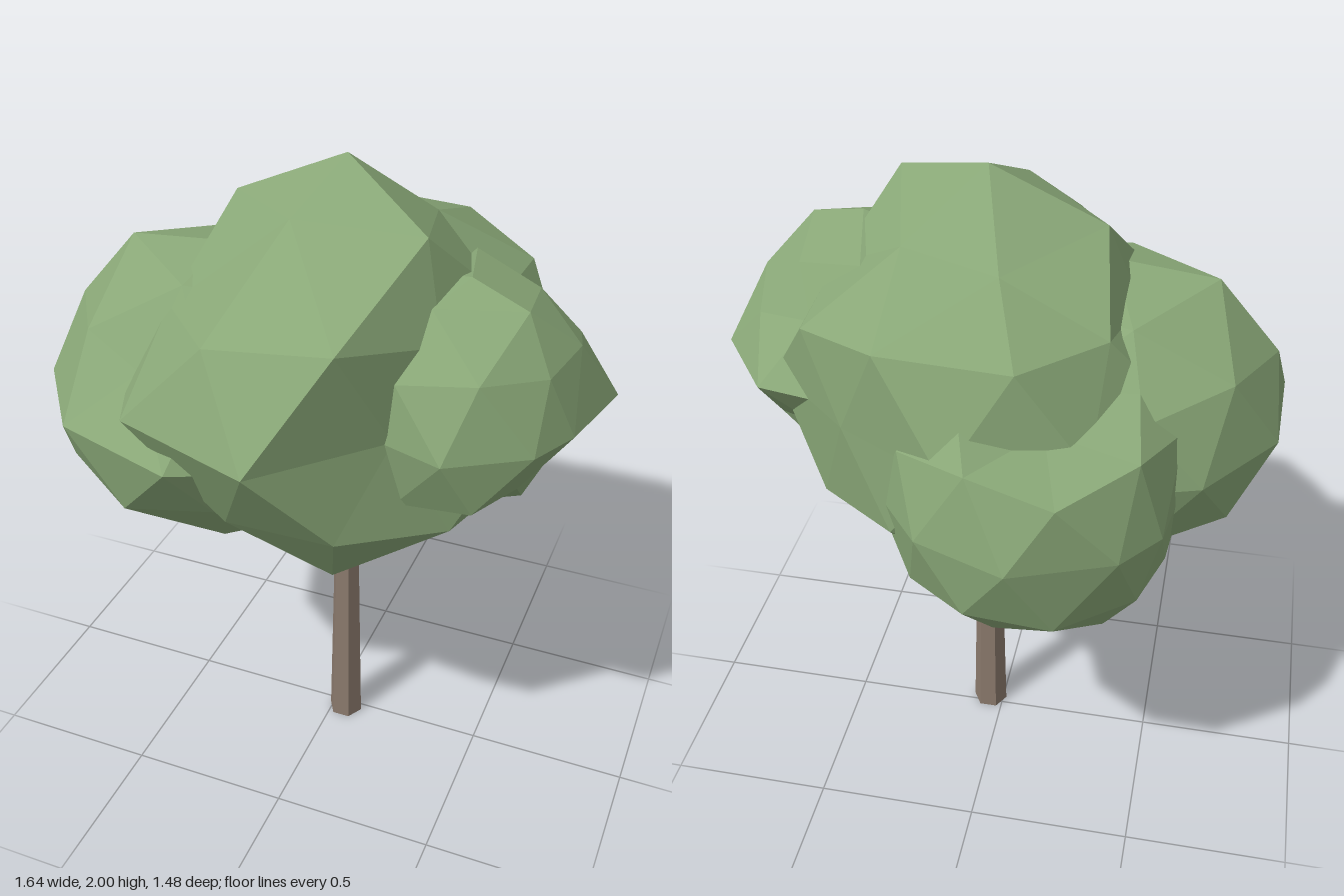
import * as THREE from 'three';

const leafMaterial = new THREE.MeshStandardMaterial({ color: 0x89a777, flatShading: true });
const barkMaterial = new THREE.MeshStandardMaterial({ color: 0x8b7a6d, flatShading: true });

// A faceted foliage clump: an icosphere standing on a vertex, squashed to its
// radii. Each pull point moves the nearest corner of the icosphere to it.
function foliageClump(name, center, radii, pulls) {
  const geometry = new THREE.IcosahedronGeometry(1, 1);
  geometry.rotateX(-1.0172).rotateY(-Math.PI / 10);
  const position = geometry.attributes.position;
  const v = new THREE.Vector3();

  // flatten the underside
  for (let i = 0; i < position.count; i++) {
    position.setY(i, Math.max(position.getY(i), -0.87));
  }
  geometry.scale(...radii).translate(...center);

  for (const pull of pulls) {
    const target = new THREE.Vector3(...pull);
    const nearest = new THREE.Vector3();
    let best = Infinity;
    for (let i = 0; i < position.count; i++) {
      const d = v.fromBufferAttribute(position, i).distanceTo(target);
      if (d < best) {
        best = d;
        nearest.copy(v);
      }
    }
    for (let i = 0; i < position.count; i++) {
      if (v.fromBufferAttribute(position, i).distanceTo(nearest) < 1e-4) {
        position.setXYZ(i, ...pull);
      }
    }
  }
  geometry.computeVertexNormals();
  const mesh = new THREE.Mesh(geometry, leafMaterial);
  mesh.name = name;
  return mesh;
}

export function createModel() {
  const tree = new THREE.Group();
  tree.name = 'tree';

  // Tapered six-sided trunk
  const trunkGeometry = new THREE.CylinderGeometry(0.032, 0.056, 1.1, 6);
  trunkGeometry.rotateY(Math.PI / 6).translate(0.045, 0.55, 0.025);
  const trunk = new THREE.Mesh(trunkGeometry, barkMaterial);
  trunk.name = 'trunk';

  // Main crown: fuller in front, hollowed at the sides
  const crown = foliageClump('crown', [0.04, 1.4, 0.02], [0.62, 0.6, 0.62], [
    // front and underside
    [0.04, 1.4, 0.74], [-0.38, 1.4, 0.6], [0.33, 1.4, 0.43],
    [0.23, 1.71, 0.59], [-0.14, 1.65, 0.57], [-0.37, 1.61, 0.31],
    [0.22, 1.13, 0.57], [0.14, 0.87, 0.38], [0.29, 0.97, 0.02],
    // ring around the top
    [-0.29, 1.85, 0.02], [0.34, 1.89, 0.23], [-0.03, 1.89, 0.25],
    [-0.04, 1.8, -0.24], [0.25, 1.81, -0.135],
    // sides and back
    [0.49, 1.63, -0.31], [0.49, 1.66, 0.02], [0.41, 1.63, 0.3],
    [0.24, 1.68, -0.49], [0.36, 1.4, -0.42],
    [-0.13, 1.67, -0.5], [-0.34, 1.66, -0.27], [-0.39, 1.62, 0.02],
  ]);

  // Smaller clumps around the crown
  const rightClump = foliageClump('rightClump', [-0.3, 1.28, 0.09], [0.54, 0.44, 0.54], [
    [-0.6, 1.69, 0.08], [-0.82, 1.28, 0.25], [-0.81, 1.28, -0.08],
    [-0.62, 1.28, 0.52], [-0.24, 1.28, 0.64], [-0.41, 1.45, 0.43],
    [-0.62, 1.5, 0.34], [-0.39, 1.65, -0.18], [-0.33, 1.67, 0.3],
    [-0.5, 0.95, -0.07], [-0.5, 0.94, 0.24], [-0.17, 1.09, 0.5],
  ]);
  const leftClump = foliageClump('leftClump', [0.44, 1.4, 0.09], [0.4, 0.385, 0.4], [
    [0.82, 1.4, -0.03], [0.65, 1.4, -0.27], [0.76, 1.4, 0.23],
    [0.69, 1.4, 0.37], [0.48, 1.4, 0.5], [0.44, 1.77, 0.16], [0.5, 1.19, 0.32],
    [0.58, 1.68, -0.03], [0.52, 1.56, -0.15], [0.69, 1.54, -0.09], [0.53, 1.24, -0.18],
    [0.73, 1.6, 0.1], [0.69, 1.58, 0.27], [0.69, 1.27, 0.09],
    [0.63, 1.23, 0.27], [0.6, 1.07, 0.07], [0.66, 1.2, -0.08],
  ]);
  const backClump = foliageClump('backClump', [-0.15, 1.22, -0.29], [0.45, 0.45, 0.45], [
    [-0.15, 1.22, -0.74], [-0.43, 1.22, -0.63], [-0.53, 1.22, -0.5], [0.11, 1.22, -0.64],
    [0.13, 0.83, -0.28], [-0.38, 0.83, -0.43],
    [-0.2, 1.48, -0.45], [-0.42, 1.56, -0.24], [-0.27, 1.41, -0.69],
  ]);

  tree.add(trunk, crown, rightClump, leftClump, backClump);
  return tree;
}
